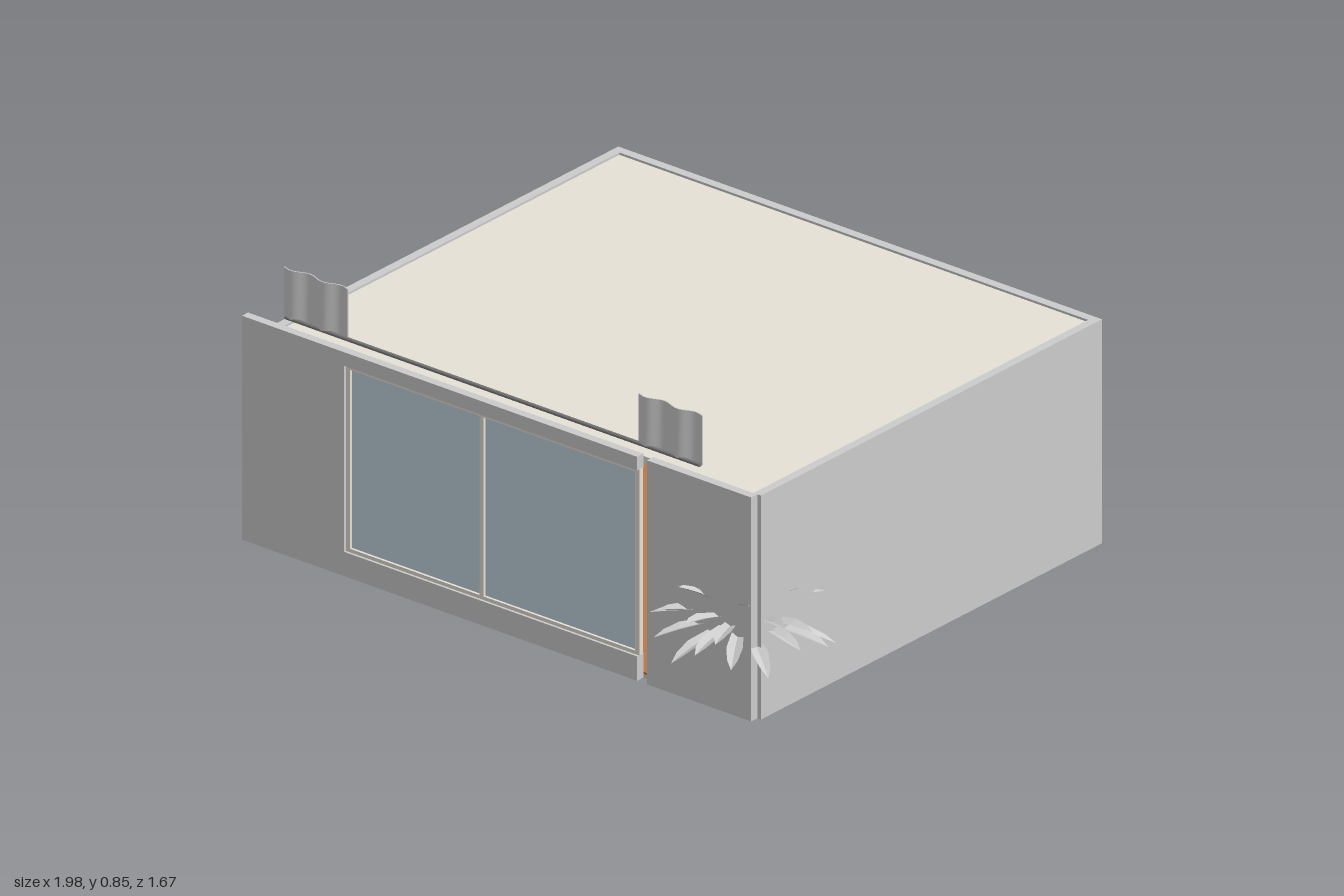
import * as THREE from 'three';

const mat = (color, side = THREE.FrontSide) =>
  new THREE.MeshStandardMaterial({ color, side, flatShading: true });
const GREY = mat(0xcccccc);
const THIN = mat(0xcccccc, THREE.DoubleSide);
const CREAM = mat(0xe6e1d6);
const GLASS = mat(0xc3d3df);
const WOOD = mat(0xb5794a);

// box given by its min and max corners
function box(parent, name, [x0, x1], [y0, y1], [z0, z1], material = GREY) {
  const mesh = new THREE.Mesh(new THREE.BoxGeometry(x1 - x0, y1 - y0, z1 - z0), material);
  mesh.position.set((x0 + x1) / 2, (y0 + y1) / 2, (z0 + z1) / 2);
  mesh.name = name;
  parent.add(mesh);
  return mesh;
}

// pointed leaf running along +x, folded along its midrib, drooping at the tip
function leafGeometry(length, elevation, droop) {
  const pos = [], index = [];
  const stations = [[0, 0.003], [0.4, 0.017], [0.7, 0.023], [0.88, 0.015], [1, 0.0005]];
  stations.forEach(([t, w], i) => {
    const x = length * t * Math.cos(elevation);
    const y = length * t * Math.sin(elevation) - droop * t * t;
    pos.push(x, y + w * 0.4, -w, x, y, 0, x, y + w * 0.4, w);
    if (i === 0) return;
    for (let k = 0; k < 2; k++) {
      const a = (i - 1) * 3 + k, b = a + 3;
      index.push(a, a + 1, b, a + 1, b + 1, b);
    }
  });
  const geo = new THREE.BufferGeometry();
  geo.setAttribute('position', new THREE.Float32BufferAttribute(pos, 3));
  geo.setIndex(index);
  geo.computeVertexNormals();
  return geo;
}

// potted plant with leaves fanned all round
function plant(name, x, y, z, turn) {
  const group = new THREE.Group();
  group.name = name;
  const elevations = [0.3, 0.05, 0.75, -0.1, 0.45, 0.15];
  const count = 30;
  for (let i = 0; i < count; i++) {
    const leaf = new THREE.Mesh(
      leafGeometry(0.255 + 0.012 * Math.sin(i * 2.3), elevations[i % 6], 0.05), THIN);
    leaf.rotation.y = turn + (i / count) * Math.PI * 2;
    leaf.name = 'leaf';
    group.add(leaf);
  }
  const pot = new THREE.Mesh(new THREE.CylinderGeometry(0.06, 0.045, 0.12, 16), GREY);
  pot.position.y = 0.08 - y;
  pot.name = 'pot';
  const stem = new THREE.Mesh(new THREE.CylinderGeometry(0.01, 0.012, y - 0.13, 8), GREY);
  stem.position.y = -(y - 0.13) / 2;
  stem.name = 'stem';
  group.add(pot, stem);
  group.position.set(x, y, z);
  return group;
}

// short hanging cloth with soft vertical folds
function curtain(name, x) {
  const geo = new THREE.BoxGeometry(0.23, 0.152, 0.004, 32, 1, 1);
  const p = geo.attributes.position;
  for (let i = 0; i < p.count; i++) {
    p.setZ(i, p.getZ(i) + 0.008 * Math.sin((p.getX(i) / 0.23) * Math.PI * 4));
  }
  geo.computeVertexNormals();
  const mesh = new THREE.Mesh(geo, new THREE.MeshStandardMaterial({ color: 0xcccccc }));
  mesh.position.set(x, 0.774, 0.61);
  mesh.name = name;
  return mesh;
}

export function createModel() {
  const model = new THREE.Group();
  model.name = 'room';
  const H = 0.69, full = [0, H];

  // shell: floor, three walls and a slightly sunken ceiling
  box(model, 'floorSlab', [-0.895, 0.855], [0, 0.012], [-0.84, 0.645]);
  box(model, 'floorBoards', [-0.87, 0.83], [0.012, 0.018], [-0.81, 0.645], WOOD);
  box(model, 'backWall', [-0.895, 0.855], full, [-0.84, -0.812]);
  box(model, 'rightWall', [-0.895, -0.868], full, [-0.812, 0.645]);
  box(model, 'leftWall', [0.828, 0.855], full, [-0.812, 0.645]);
  box(model, 'ceiling', [-0.868, 0.828], [0.66, 0.683], [-0.812, 0.645], CREAM);

  // front wall around the window, with a narrow slot before the end panel
  const front = new THREE.Group();
  front.name = 'frontWall';
  const zf = [0.645, 0.672];
  box(front, 'widePanel', [-1, -0.63], full, zf);
  box(front, 'lintel', [-0.63, 0.43], [0.648, H], zf);
  box(front, 'sillWall', [-0.63, 0.43], [0, 0.075], zf);
  box(front, 'endPanel', [0.465, 0.842], full, zf);
  model.add(front);

  // window
  const win = new THREE.Group();
  win.name = 'window';
  const zw = [0.647, 0.664];
  box(win, 'glass', [-0.63, 0.425], [0.075, 0.648], [0.652, 0.656], GLASS);
  for (const x of [-0.623, -0.14, 0.423]) {
    box(win, 'windowPost', [x - 0.008, x + 0.008], [0.075, 0.648], zw, CREAM);
  }
  for (const y of [0.08, 0.643]) {
    box(win, 'windowRail', [-0.63, 0.43], [y - 0.006, y + 0.006], zw, CREAM);
  }
  model.add(win);

  // curtain rod and the two curtains
  const rod = new THREE.Mesh(new THREE.CylinderGeometry(0.006, 0.006, 1.5, 12), mat(0x777777));
  rod.rotation.z = Math.PI / 2;
  rod.position.set(-0.14, 0.698, 0.614);
  rod.name = 'curtainRod';
  model.add(rod, curtain('rightCurtain', -0.783), curtain('leftCurtain', 0.5));

  // corner plants whose leaves reach through the walls
  model.add(plant('frontPlant', 0.73, 0.25, 0.575, 0.05));
  model.add(plant('backPlant', -0.73, 0.2, -0.55, 0.3));

  return model;
}
